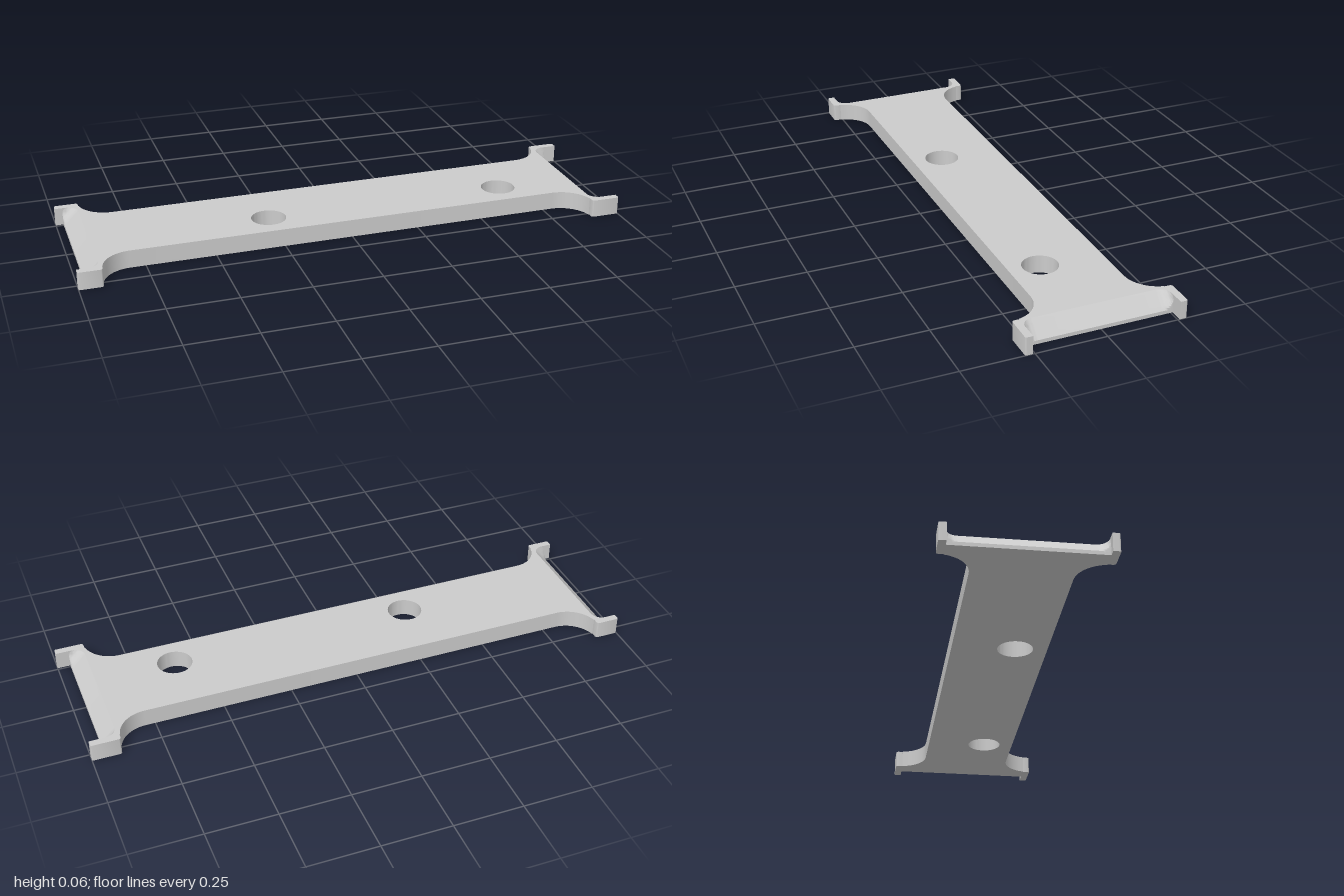
import * as THREE from 'three';
import { toCreasedNormals } from 'three/addons/utils/BufferGeometryUtils.js';

const H = 0.065;        // plate thickness
const WAIST = 0.168;    // half width of the middle
const INNER = 0.257;    // inner wall of the prongs
const OUTER = 0.283;    // outer wall of the prongs
const R = 0.11;         // waist fillet
const POCKET_R = 0.04;  // fillet between ramp and prong
const RAMP = 0.052;     // run of the sloped end

// prong: x where the flared end starts; ramp: x of the ramp's upper edge
const ends = [
  { s: 1, prong: 0.895, ramp: 0.902 },
  { s: -1, prong: 0.914, ramp: 0.921 },
];

// One corner of the outline, from the waist out to the end face
function corner({ s, prong, ramp }, sy) {
  const pts = [];
  const cx = prong - R, cy = WAIST + R;
  const stop = Math.asin((INNER - cy) / R);
  for (let i = 0; i <= 12; i++) {
    const a = -Math.PI / 2 + (stop + Math.PI / 2) * (i / 12);
    pts.push([cx + R * Math.cos(a), cy + R * Math.sin(a)]);
  }
  for (let i = 0; i <= 10; i++) {
    const a = Math.PI / 2 * (1 + i / 10);
    pts.push([ramp + POCKET_R * (1 + Math.cos(a)), INNER - POCKET_R * (1 - Math.sin(a))]);
  }
  return pts.map(([x, y]) => new THREE.Vector2(s * x, sy * y));
}

function extrudeUp(shape, steps) {
  const g = new THREE.ExtrudeGeometry(shape, { depth: H, steps, bevelEnabled: false, curveSegments: 24 });
  return g.rotateX(-Math.PI / 2);
}

function plateGeometry() {
  const [r, l] = ends;
  const shape = new THREE.Shape([
    ...corner(r, -1), ...corner(r, 1).reverse(),
    ...corner(l, 1), ...corner(l, -1).reverse(),
  ]);
  for (const x of [-0.28, 0.613]) {
    shape.holes.push(new THREE.Path().absarc(x, -0.055, 0.063, 0, Math.PI * 2, true));
  }
  const g = extrudeUp(shape, 10);

  // Lean the end faces outward into ramps, cut off at a low vertical lip
  const p = g.attributes.position;
  for (let i = 0; i < p.count; i++) {
    const x = p.getX(i), end = x > 0 ? ends[0] : ends[1];
    if (Math.abs(x) < end.ramp - 1e-4) continue;
    const push = Math.min(H - p.getY(i), RAMP);
    p.setX(i, end.s * Math.min(Math.abs(x) + push, end.ramp + RAMP));
  }
  return toCreasedNormals(g, 0.6);
}

// Flat prong with softened outer corners
function prongGeometry({ s, prong }, sz) {
  const c = 0.01, t = 0.006;
  const shape = new THREE.Shape();
  shape.moveTo(prong, INNER);
  shape.lineTo(1, INNER);
  shape.lineTo(1, OUTER - t);
  shape.quadraticCurveTo(1, OUTER, 1 - t, OUTER);
  shape.lineTo(prong + c, OUTER);
  shape.quadraticCurveTo(prong, OUTER, prong, OUTER - c);
  const pts = shape.getPoints(5).map(v => new THREE.Vector2(s * v.x, -sz * v.y));
  return toCreasedNormals(extrudeUp(new THREE.Shape(pts), 1), 0.6);
}

export function createModel() {
  const group = new THREE.Group();
  group.name = 'bracketPlate';
  const material = new THREE.MeshStandardMaterial({ color: 0xcccccc });
  const add = (name, geometry) => {
    const mesh = new THREE.Mesh(geometry, material);
    mesh.name = name;
    group.add(mesh);
  };

  add('plate', plateGeometry());
  for (const end of ends) {
    for (const sz of [1, -1]) {
      add(`${end.s > 0 ? 'left' : 'right'}${sz > 0 ? 'Front' : 'Back'}Prong`, prongGeometry(end, sz));
    }
  }
  return group;
}
